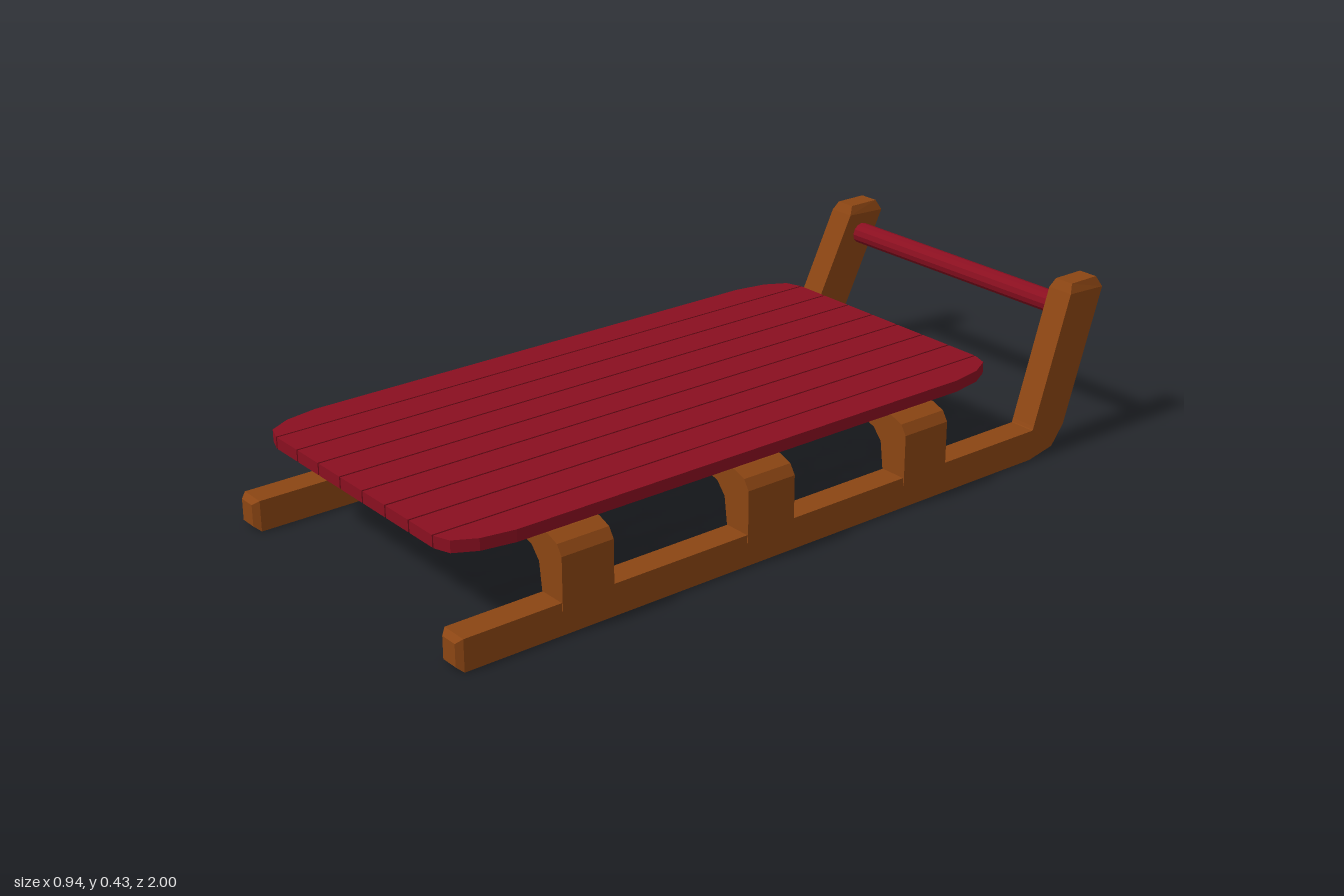
import * as THREE from 'three';

const wood = new THREE.MeshStandardMaterial({ color: 0x8b4513, flatShading: true });
const red = new THREE.MeshStandardMaterial({ color: 0x8a0f20, flatShading: true });

function part(parent, name, geometry, material) {
  const mesh = new THREE.Mesh(geometry, material);
  mesh.name = name;
  parent.add(mesh);
  return mesh;
}

function extrude(points, depth) {
  const shape = new THREE.Shape(points.map(([x, y]) => new THREE.Vector2(x, y)));
  return new THREE.ExtrudeGeometry(shape, { depth, bevelEnabled: false });
}

// Runner: four-sided sections swept back and up the raked handle
function runnerGeometry() {
  // inner x, outer x, lower z, lower y, upper z, upper y
  const sections = [
    [0.41, 0.457, 1.0, 0.013, 1.0, 0.069],
    [0.397, 0.468, 0.985, 0, 0.985, 0.08],
    [0.397, 0.468, -0.74, 0, -0.744, 0.08],
    [0.396, 0.468, -0.82, 0.017, -0.746, 0.082],
    [0.395, 0.467, -0.86, 0.068, -0.75, 0.09],
    [0.372, 0.445, -1.0, 0.405, -0.882, 0.41],
    [0.381, 0.435, -0.985, 0.433, -0.895, 0.433],
  ];
  const positions = [], index = [];
  sections.forEach(([xi, xo, zl, yl, zu, yu], k) => {
    positions.push(xi, yl, zl, xo, yl, zl, xo, yu, zu, xi, yu, zu);
    if (k === 0) return;
    for (let j = 0; j < 4; j++) {
      const a = (k - 1) * 4 + j, b = (k - 1) * 4 + (j + 1) % 4;
      index.push(a, b + 4, b, a, a + 4, b + 4);
    }
  });
  const e = (sections.length - 1) * 4;
  index.push(0, 1, 2, 0, 2, 3, e, e + 2, e + 1, e, e + 3, e + 2);
  const geometry = new THREE.BufferGeometry();
  geometry.setAttribute('position', new THREE.Float32BufferAttribute(positions, 3));
  geometry.setIndex(index);
  geometry.computeVertexNormals();
  return geometry;
}

export function createModel() {
  const sled = new THREE.Group();
  sled.name = 'sled';

  // Pair of runners
  const runner = runnerGeometry();
  part(sled, 'leftRunner', runner, wood);
  part(sled, 'rightRunner', runner, wood).scale.x = -1;

  // Three arched supports between the runners
  const half = [
    [0.32, 0.192], [0.36, 0.18], [0.386, 0.15], [0.398, 0.06],
    [0.471, 0.06], [0.471, 0.192], [0.455, 0.217], [0.42, 0.23],
  ];
  const arch = extrude([...half, ...half.map(([x, y]) => [-x, y]).reverse()], 0.14);
  for (const z of [0.59, 0.065, -0.43]) {
    part(sled, 'archSupport', arch, wood).position.z = z;
  }

  // Seat: nine slats, the outermost with rounded corners
  const seat = new THREE.Group();
  seat.name = 'seat';
  seat.position.set(-0.005, 0.26, 0.145);
  sled.add(seat);
  const pitch = 0.0945, gap = 0.005, halfLength = 0.815, thick = 0.03;
  for (let i = -3; i <= 3; i++) {
    const slat = new THREE.BoxGeometry(pitch - gap, thick, halfLength * 2);
    part(seat, 'slat', slat, red).position.set(i * pitch, -thick / 2, 0);
  }
  const edge = [[0.333, 0.815], [0.375, 0.8], [0.405, 0.745], [0.42, 0.66]];
  const outline = [...edge, ...edge.map(([x, z]) => [x, -z]).reverse()];
  for (const side of [1, -1]) {
    const slat = extrude(outline.map(([x, z]) => [side * x, z]), thick);
    part(seat, 'edgeSlat', slat.rotateX(Math.PI / 2), red);
  }

  // Push bar between the handles
  const bar = new THREE.CylinderGeometry(0.029, 0.029, 0.78, 12).rotateZ(Math.PI / 2);
  part(sled, 'pushBar', bar, red).position.set(0, 0.35, -0.928);

  return sled;
}
